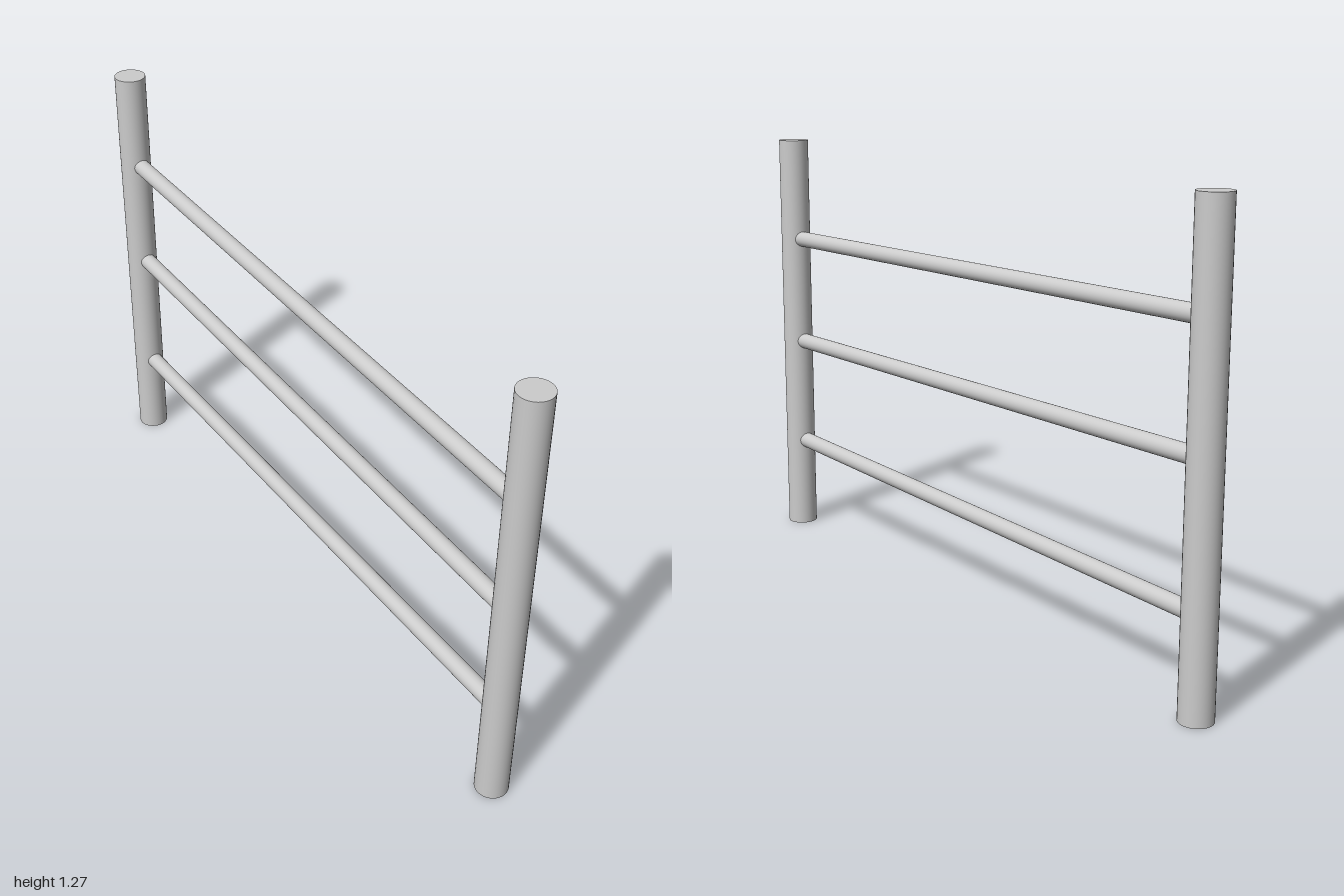
import * as THREE from 'three';

const POST_Z = 0.954;
const POST_RADIUS = 0.046;
const POST_HEIGHT = 1.275;
const RAIL_RADIUS = 0.024;

export function createModel() {
  const group = new THREE.Group();
  group.name = 'fenceSection';
  const material = new THREE.MeshStandardMaterial({ color: 0xcccccc });

  // Round pole between two points
  function pole(name, from, to, radius) {
    const axis = to.clone().sub(from);
    const mesh = new THREE.Mesh(
      new THREE.CylinderGeometry(radius, radius, axis.length(), 32),
      material
    );
    mesh.name = name;
    mesh.position.copy(from).add(to).multiplyScalar(0.5);
    mesh.quaternion.setFromUnitVectors(new THREE.Vector3(0, 1, 0), axis.normalize());
    group.add(mesh);
  }

  // Upright posts at the front and back
  for (const [name, z] of [['frontPost', POST_Z], ['backPost', -POST_Z]]) {
    pole(name, new THREE.Vector3(0, 0, z), new THREE.Vector3(0, POST_HEIGHT, z), POST_RADIUS);
  }

  // Slightly tilted rails: height at the front post, height at the back post
  const rails = [
    ['lowerRail', 0.287, 0.27],
    ['middleRail', 0.623, 0.655],
    ['upperRail', 0.959, 0.99],
  ];
  for (const [name, frontY, backY] of rails) {
    pole(name, new THREE.Vector3(0, frontY, POST_Z), new THREE.Vector3(0, backY, -POST_Z), RAIL_RADIUS);
  }

  return group;
}
